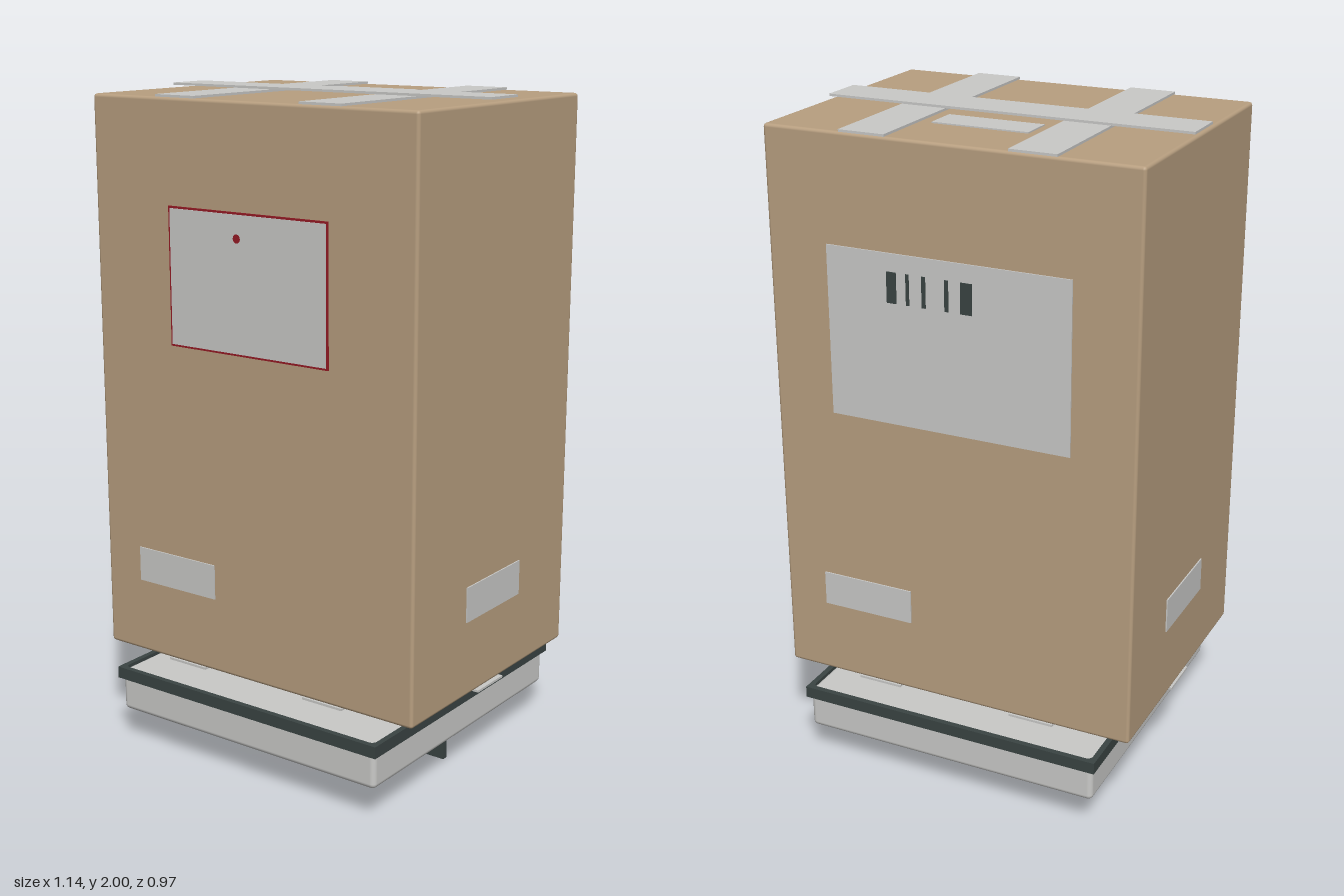
import * as THREE from 'three';
import { RoundedBoxGeometry } from 'three/addons/geometries/RoundedBoxGeometry.js';

const mat = (name, color) => {
  const m = new THREE.MeshStandardMaterial({ color });
  m.name = name;
  return m;
};

export function createModel() {
  const root = new THREE.Group();
  root.name = 'cartonOnTray';

  const tan = mat('cardboard tan', 0xb89f80);
  const light = mat('light grey', 0xcacac8);
  const dark = mat('dark slate', 0x3a4443);
  const red = mat('label red', 0x961a24);

  const add = (name, geometry, material, x, y, z, parent = root) => {
    const mesh = new THREE.Mesh(geometry, material);
    mesh.name = name;
    mesh.position.set(x, y, z);
    parent.add(mesh);
    return mesh;
  };
  const box = (name, material, w, h, d, x, y, z, parent) =>
    add(name, new THREE.BoxGeometry(w, h, d), material, x, y, z, parent);

  // Carton
  const W = 1.128, D = 0.845, y0 = 0.295, y1 = 1.986;
  const hw = W / 2, hd = D / 2;
  add('carton', new RoundedBoxGeometry(W, y1 - y0, D, 2, 0.01), tan, 0, (y0 + y1) / 2, 0);

  // Straps on the top and underside: a lengthwise pair with one strap across
  for (const [side, y, dir] of [['top', y1, 1], ['bottom', y0, -1]]) {
    const straps = new THREE.Group();
    straps.name = side + 'Straps';
    root.add(straps);
    for (const s of [-1, 1])
      box('lengthwiseStrap', light, 0.14, 0.007, D, s * 0.253, y + dir * 0.0035, 0, straps);
    box('crossStrap', light, W, 0.007, 0.138, 0, y + dir * 0.0105, 0, straps);
  }

  // Front panel with a red border and a small red spot
  box('frontPanelBorder', red, 0.562, 0.406, 0.004, 0, 1.48, hd + 0.002);
  box('frontPanel', light, 0.55, 0.394, 0.004, 0, 1.48, hd + 0.004);
  add('frontPanelSpot', new THREE.CircleGeometry(0.013, 12), red, -0.03, 1.61, hd + 0.0075);

  // Back panel with upright dark bars
  box('backPanel', light, 0.745, 0.505, 0.004, 0.002, 1.415, -hd - 0.002);
  for (const [x, w] of [[0.17, 0.03], [0.12, 0.01], [0.07, 0.012], [0, 0.012], [-0.06, 0.035]])
    box('backPanelBar', dark, w, 0.09, 0.003, x, 1.57, -hd - 0.0045);

  // Small stickers: one low on each wall, one on the top
  const sy = 0.578, sw = 0.293, sh = 0.106, t = 0.004;
  box('frontSticker', light, sw, sh, t, -0.284, sy, hd + t / 2);
  box('backSticker', light, sw, sh, t, 0.284, sy, -hd - t / 2);
  for (const s of [-1, 1])
    box(s > 0 ? 'leftSticker' : 'rightSticker', light, t, sh, sw, s * (hw + t / 2), sy, 0);
  box('topSticker', light, sw, t, 0.104, -0.002, y1 + t / 2, -0.171);

  // Tray
  add('trayBody', new RoundedBoxGeometry(0.948, 0.132, 0.948, 3, 0.016), light, 0, 0.171, 0);

  // Square rim around the tray, with softly rounded inner corners
  const o = 0.484, i = 0.467, r = 0.016;
  const rim = new THREE.Shape();
  rim.moveTo(-o, -o).lineTo(o, -o).lineTo(o, o).lineTo(-o, o).closePath();
  const hole = new THREE.Path();
  const corners = [[1, 1], [-1, 1], [-1, -1], [1, -1]];
  corners.forEach(([sx, sz], k) =>
    hole.absarc(sx * (i - r), sz * (i - r), r, k * Math.PI / 2, (k + 1) * Math.PI / 2, false));
  hole.closePath();
  rim.holes.push(hole);
  const rimGeo = new THREE.ExtrudeGeometry(rim, { depth: 0.036, bevelEnabled: false, curveSegments: 4 });
  rimGeo.rotateX(-Math.PI / 2);
  add('trayRim', rimGeo, dark, 0, 0.209, 0);

  // Fin and small tab under the tray
  box('fin', dark, 0.82, 0.112, 0.018, 0, 0.056, 0);
  box('underTab', tan, 0.07, 0.01, 0.02, 0.305, 0.102, 0.045);

  return root;
}
